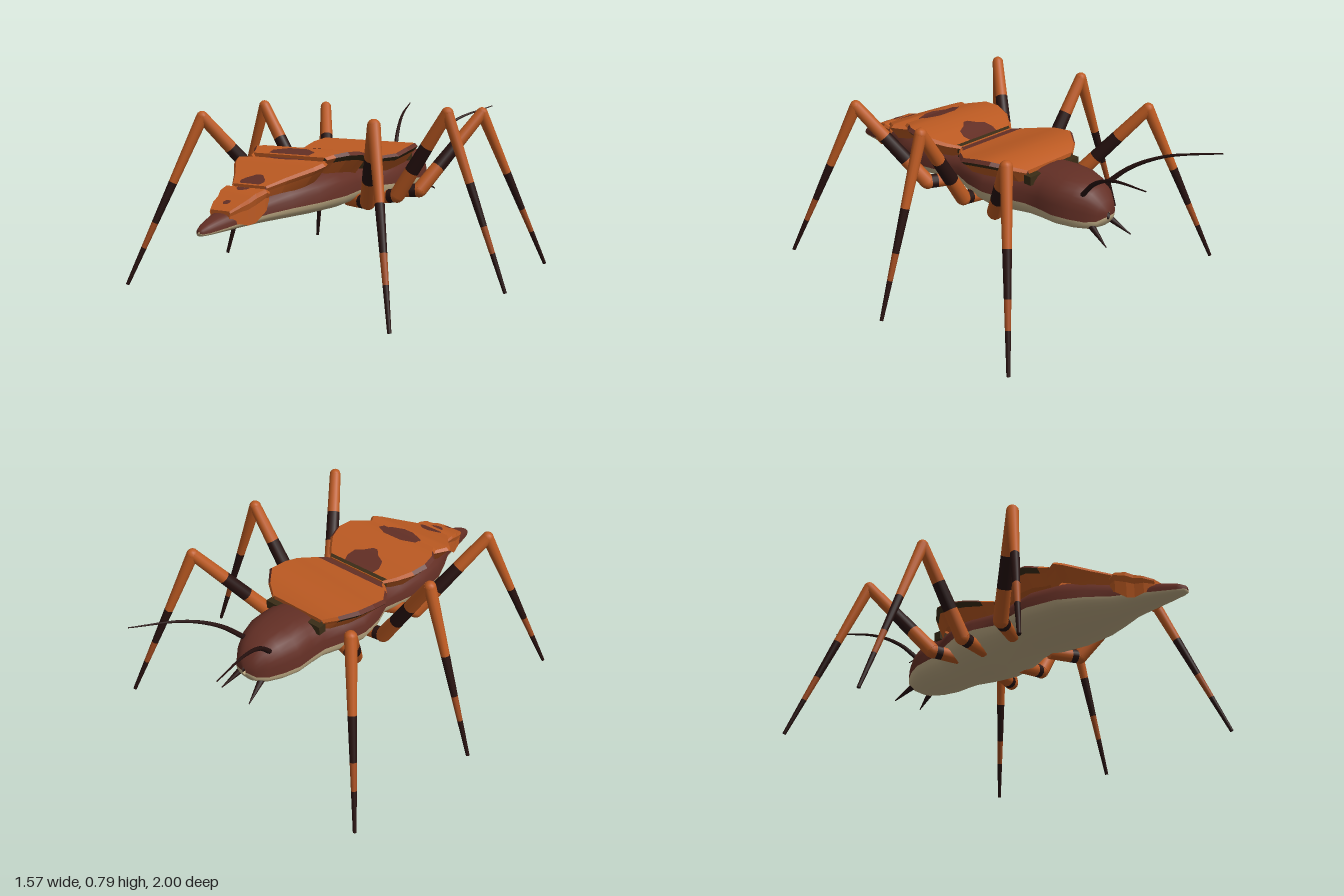
import * as THREE from 'three';

const mat = (name, color, side = THREE.FrontSide) => {
  const m = new THREE.MeshStandardMaterial({ color, side });
  m.name = name;
  return m;
};

// Skin through open cross-sections, each running from +x over the top to -x, with z increasing
function loft(rings) {
  const n = rings[0].length, pos = rings.flat(2), idx = [];
  for (let j = 0; j < rings.length - 1; j++) {
    for (let i = 0; i < n - 1; i++) {
      const a = j * n + i, c = a + n;
      idx.push(a, a + 1, c, a + 1, c + 1, c);
    }
  }
  const g = new THREE.BufferGeometry();
  g.setAttribute('position', new THREE.Float32BufferAttribute(pos, 3));
  g.setIndex(idx);
  g.computeVertexNormals();
  return g;
}

// Linear lookup of column k in rows sorted by their first value
function lookup(rows, z, k) {
  for (let i = 1; i < rows.length; i++) {
    const a = rows[i - 1], b = rows[i];
    if (z <= b[0] || i === rows.length - 1) {
      const t = THREE.MathUtils.clamp((z - a[0]) / (b[0] - a[0]), 0, 1);
      return a[k] + (b[k] - a[k]) * t;
    }
  }
}

export function createModel() {
  const model = new THREE.Group();
  const orange = mat('orange', 0xbc5a22, THREE.DoubleSide);
  const rust = mat('rust', 0x9e4a20);
  const brown = mat('brown', 0x632f25, THREE.DoubleSide);
  const tan = mat('tan', 0xc4b088, THREE.DoubleSide);
  const dark = mat('nearBlack', 0x26110f);
  const olive = mat('darkOlive', 0x3a2c16, THREE.DoubleSide);

  const add = (parent, name, geometry, material) => {
    const m = new THREE.Mesh(geometry, material);
    m.name = name;
    parent.add(m);
    return m;
  };

  // Body: z, half width, belly y, colour line y, back y
  const body = [
    [-0.635, 0.01, 0.415, 0.43, 0.45], [-0.62, 0.06, 0.385, 0.42, 0.495], [-0.58, 0.095, 0.362, 0.415, 0.54],
    [-0.52, 0.13, 0.352, 0.42, 0.565], [-0.45, 0.155, 0.348, 0.425, 0.575], [-0.37, 0.157, 0.346, 0.43, 0.578],
    [-0.3, 0.16, 0.343, 0.43, 0.57], [-0.2, 0.2, 0.335, 0.435, 0.56], [-0.1, 0.225, 0.33, 0.44, 0.555],
    [0, 0.215, 0.338, 0.443, 0.55], [0.1, 0.18, 0.362, 0.442, 0.545], [0.2, 0.2, 0.365, 0.438, 0.55],
    [0.33, 0.22, 0.36, 0.432, 0.555], [0.48, 0.2, 0.357, 0.422, 0.54], [0.6, 0.15, 0.353, 0.41, 0.51],
    [0.7, 0.1, 0.35, 0.395, 0.47], [0.8, 0.075, 0.347, 0.38, 0.435], [0.9, 0.05, 0.343, 0.363, 0.41],
    [0.97, 0.03, 0.34, 0.352, 0.385], [0.995, 0.018, 0.34, 0.35, 0.37], [1, 0.002, 0.35, 0.352, 0.36],
  ];
  const arc = (from, power, k) => loft(body.map((s) => Array.from({ length: 15 }, (_, i) => {
    const a = from + Math.PI * i / 14, c = Math.cos(a), q = Math.sin(a);
    return [s[1] * Math.sign(c) * Math.abs(c) ** power, s[3] + (k === 4 ? 1 : -1) * Math.abs(s[k] - s[3]) * Math.abs(q) ** power, s[0]];
  })));
  add(model, 'back', arc(0, 0.75, 4), brown);
  add(model, 'belly', arc(Math.PI, 0.9, 2), tan);

  // Back plates: z, half width, top y, edge depth
  const plates = {
    thoraxPlate: [[-0.3, 0.15, 0.578, 0.8], [-0.26, 0.21, 0.6, 0.9], [-0.19, 0.268, 0.618, 1], [-0.1, 0.275, 0.605, 1],
      [-0.02, 0.27, 0.585, 0.9], [0.05, 0.22, 0.575, 0.7], [0.09, 0.18, 0.572, 0.6]],
    middlePlate: [[0.1, 0.16, 0.572, 0.6], [0.15, 0.205, 0.585, 0.8], [0.21, 0.25, 0.605, 1], [0.28, 0.27, 0.618, 1],
      [0.35, 0.257, 0.622, 1], [0.4, 0.22, 0.612, 0.9], [0.44, 0.2, 0.602, 0.7]],
    rearPlate: [[0.42, 0.19, 0.585, 0.8], [0.5, 0.235, 0.587, 0.9], [0.54, 0.215, 0.572, 0.9],
      [0.63, 0.14, 0.535, 0.8], [0.7, 0.09, 0.505, 0.6]],
    tailPlate: [[0.69, 0.1, 0.485, 0.7], [0.72, 0.108, 0.497, 1], [0.77, 0.097, 0.485, 1.3], [0.8, 0.083, 0.465, 1.15],
      [0.84, 0.073, 0.448, 0.85], [0.88, 0.052, 0.425, 0.6]],
  };
  for (const [name, rows] of Object.entries(plates)) {
    const plate = new THREE.Group();
    plate.name = name;
    model.add(plate);
    // Edge profile from the top corner inward and down: width factor, drop
    const edge = [[0.94, 0], [1, 0.014], [0.92, 0.036], [name === 'tailPlate' ? 0.92 : 0.75, 0.09]];
    const at = (r, [f, drop], s) => [s * r[1] * f, r[2] - drop * r[3], r[0]];
    add(plate, 'plateTop', loft(rows.map((r) => [at(r, edge[0], 1), at(r, edge[0], -1)])), orange);
    // Only the widest stretch of the rim is dark
    for (let j = 1; j < rows.length; j++) {
      const pair = [rows[j - 1], rows[j]];
      const wide = pair[0][1] + pair[1][1] > 0.475;
      [wide ? brown : orange, wide ? olive : orange, orange].forEach((m, k) => {
        add(plate, 'plateRim', loft(pair.map((r) => [at(r, edge[k + 1], 1), at(r, edge[k], 1)])), m);
        add(plate, 'plateRim', loft(pair.map((r) => [at(r, edge[k], -1), at(r, edge[k + 1], -1)])), m);
      });
    }
    for (const r of [rows[0], rows.at(-1)]) {
      add(plate, 'plateEnd', loft([edge[0], edge[3]].map((e) => [at(r, e, 1), at(r, e, -1)])), orange);
    }
  }

  // Markings laid on the plates: plate, material, then z and half width
  const marks = [
    ['middlePlate', olive, [[0.1, 0.155], [0.118, 0.165]]],
    ['middlePlate', brown, [[0.118, 0.083], [0.15, 0.093], [0.19, 0.08], [0.21, 0.04], [0.24, 0.012]]],
    ['middlePlate', brown, [[0.365, 0.05], [0.4, 0.11], [0.438, 0.105]]],
    ['rearPlate', brown, [[0.44, 0.105], [0.47, 0.09], [0.495, 0.025]]],
    ['rearPlate', brown, [[0.63, 0.015], [0.66, 0.05], [0.68, 0.062], [0.698, 0.05]]],
    ['tailPlate', brown, [[0.73, 0.032], [0.745, 0.03], [0.76, 0.01]]],
    ['tailPlate', brown, [[0.825, 0.012], [0.84, 0.018], [0.85, 0.008]]],
    ['thoraxPlate', brown, [[0.055, 0.19], [0.088, 0.16]]],
  ];
  for (const [plate, material, rows] of marks) {
    const z0 = rows[0][0], z1 = rows.at(-1)[0];
    add(model, 'marking', loft(Array.from({ length: 13 }, (_, i) => {
      const z = z0 + (z1 - z0) * i / 12, w = lookup(rows, z, 1), y = lookup(plates[plate], z, 2) + 0.004;
      return [[w, y, z], [-w, y, z]];
    })), material);
  }
  // Dark folds before and behind the first plate
  for (const [w, y, z, d] of [[0.33, 0.543, 0.1, 0.03], [0.31, 0.54, -0.31, 0.04]]) {
    add(model, 'fold', new THREE.BoxGeometry(w, 0.04, d), olive).position.set(0, y, z);
  }

  // Tapered rod between two points
  const up = new THREE.Vector3(0, 1, 0);
  function rod(parent, name, a, b, ra, rb, material) {
    const dir = b.clone().sub(a);
    const m = add(parent, name, new THREE.CylinderGeometry(rb, ra, dir.length(), 12), material);
    m.position.copy(a).add(b).multiplyScalar(0.5);
    m.quaternion.setFromUnitVectors(up, dir.normalize());
  }
  // Rod in coloured bands: each band is its end fraction and material
  function banded(parent, name, a, b, ra, rb, bands) {
    let t = 0;
    for (const [e, material] of bands) {
      rod(parent, name, a.clone().lerp(b, t), a.clone().lerp(b, e),
        ra + (rb - ra) * t, ra + (rb - ra) * e, material);
      t = e;
    }
  }

  // Legs: root, hip, knee, foot
  const legs = {
    frontLeg: [[0.12, 0.385, -0.17], [0.26, 0.395, -0.22], [0.45, 0.748, -0.475], [0.683, 0.008, -0.72]],
    middleLeg: [[0.12, 0.375, -0.02], [0.26, 0.395, -0.02], [0.503, 0.772, -0.032], [0.78, 0.008, -0.06]],
    rearLeg: [[0.12, 0.39, 0.16], [0.26, 0.395, 0.22], [0.45, 0.748, 0.475], [0.683, 0.008, 0.73]],
  };
  for (const [name, pts] of Object.entries(legs)) {
    for (const s of [1, -1]) {
      const leg = new THREE.Group();
      leg.name = (s > 0 ? 'left ' : 'right ') + name;
      model.add(leg);
      const [root, hip, knee, foot] = pts.map(([x, y, z]) => new THREE.Vector3(s * x, y, z));
      banded(leg, 'hip', root, hip, 0.03, 0.032, [[0.7, orange], [0.9, dark], [1, orange]]);
      banded(leg, 'thigh', hip, knee, 0.035, 0.027, [[0.3, orange], [0.6, dark], [1, orange]]);
      banded(leg, 'shin', knee, foot, 0.027, 0.008, [[0.39, orange], [0.63, dark], [0.78, rust], [1, dark]]);
      for (const [p, r] of [[hip, 0.034], [knee, 0.0272]]) {
        add(leg, 'joint', new THREE.SphereGeometry(r, 12, 8), orange).position.copy(p);
      }
    }
  }

  // Antennae and mandibles
  for (const s of [1, -1]) {
    const v = (x, y, z) => new THREE.Vector3(s * x, y, z);
    const curve = new THREE.CatmullRomCurve3([
      v(0.07, 0.52, -0.545), v(0.115, 0.62, -0.645), v(0.17, 0.695, -0.78), v(0.25, 0.75, -1)]);
    const g = new THREE.TubeGeometry(curve, 20, 0.012, 8), p = g.attributes.position, q = new THREE.Vector3();
    for (let i = 0; i < p.count; i++) {
      const t = Math.floor(i / 9) / 20, c = curve.getPointAt(t);
      q.fromBufferAttribute(p, i).sub(c).multiplyScalar(1 - 0.8 * t).add(c);
      p.setXYZ(i, q.x, q.y, q.z);
    }
    add(model, 'antenna', g, dark);
    rod(model, 'mandible', v(0.055, 0.395, -0.58), v(0.082, 0.335, -0.695), 0.017, 0.002, dark);
  }
  return model;
}
